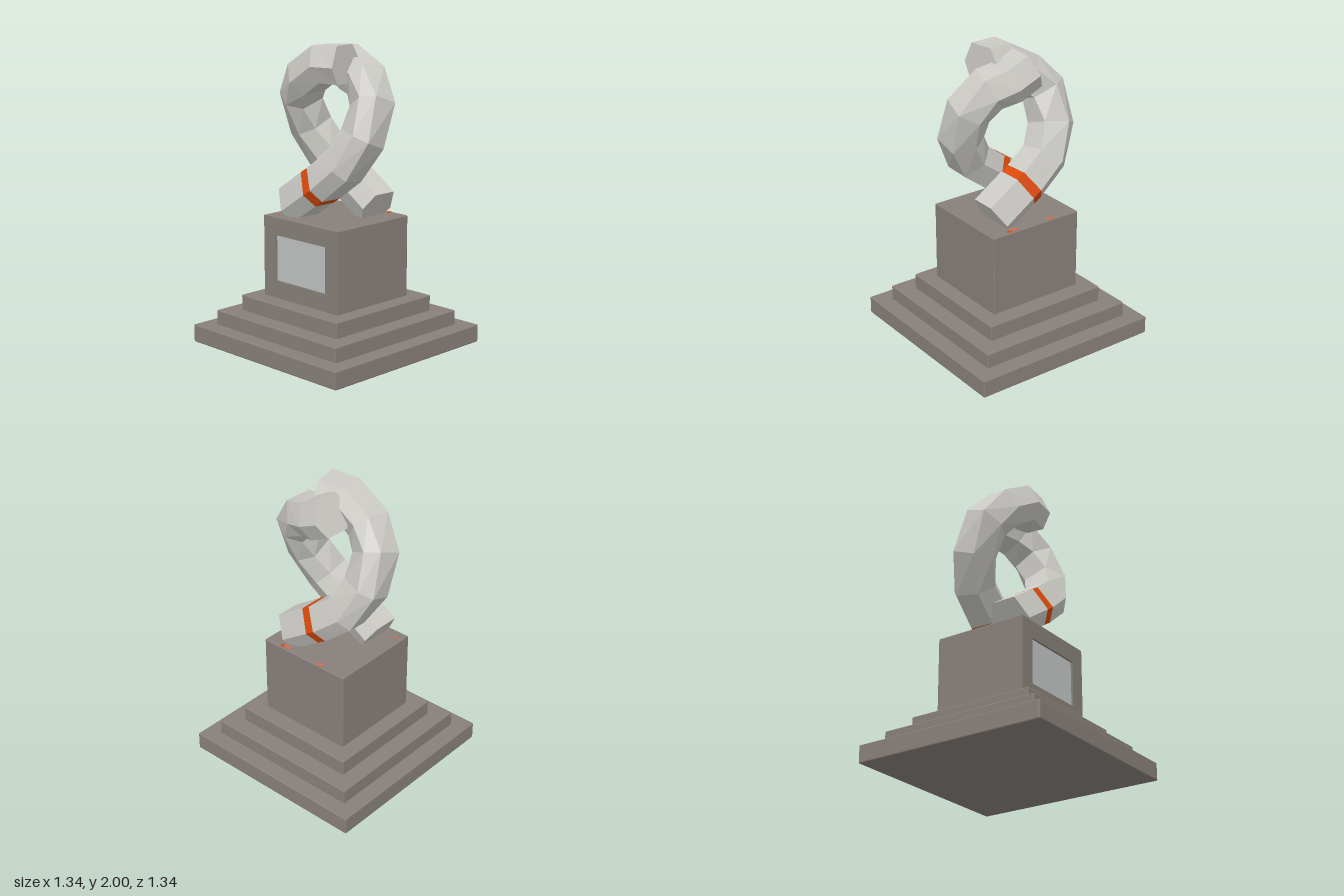
import * as THREE from 'three';
import { RoundedBoxGeometry } from 'three/addons/geometries/RoundedBoxGeometry.js';

const mat = (name, color) => {
  const m = new THREE.MeshStandardMaterial({ color, flatShading: true });
  m.name = name;
  return m;
};

// Six-sided cross-section of a strand: [outward, sideways]
const PROFILE = [[-0.12, 0.085], [0.035, 0.145], [0.125, 0.085], [0.125, -0.08], [-0.01, -0.14], [-0.12, -0.085]];

// Lower part of a strand's centre line; the third segment is the coloured band
const LOWER = [
  [-0.23, 0.935, 0.15], [-0.02, 1.075, 0.15], [0.035, 1.11, 0.15], [0.2, 1.235, 0.135],
  [0.305, 1.42, 0.07], [0.305, 1.63, -0.02], [0.19, 1.765, -0.08],
];
const BAND_SEGMENT = 1;

// Sweeps the cross-section along a faceted path, closing both ends
function strandGeometry(points) {
  const path = points.map((p) => new THREE.Vector3(...p));
  const side = new THREE.Vector3(0, 0, 1);
  const rings = path.map((p, i) => {
    const before = path[Math.max(i - 1, 0)], after = path[Math.min(i + 1, path.length - 1)];
    const t = new THREE.Vector3();
    if (i > 0) t.add(p.clone().sub(before).normalize());
    if (i < path.length - 1) t.add(after.clone().sub(p).normalize());
    t.normalize();
    const out = t.clone().cross(side).normalize();
    const across = out.clone().cross(t);
    return PROFILE.map(([u, w]) => p.clone().addScaledVector(out, u).addScaledVector(across, w));
  });

  const geo = new THREE.BufferGeometry();
  const pos = [];
  const tri = (...vs) => vs.forEach((v) => pos.push(v.x, v.y, v.z));
  const n = PROFILE.length;
  const group = (material, build) => {
    const start = pos.length / 3;
    build();
    geo.addGroup(start, pos.length / 3 - start, material);
  };
  for (let i = 0; i < rings.length - 1; i++) {
    group(i === BAND_SEGMENT ? 1 : 0, () => {
      for (let j = 0; j < n; j++) {
        const k = (j + 1) % n;
        tri(rings[i][j], rings[i][k], rings[i + 1][k]);
        tri(rings[i][j], rings[i + 1][k], rings[i + 1][j]);
      }
    });
  }
  group(0, () => {
    const first = rings[0], last = rings[rings.length - 1];
    for (let j = 1; j < n - 1; j++) {
      tri(first[0], first[j + 1], first[j]);
      tri(last[0], last[j], last[j + 1]);
    }
  });
  geo.setAttribute('position', new THREE.Float32BufferAttribute(pos, 3));
  geo.computeVertexNormals();
  return geo;
}

export function createModel() {
  const model = new THREE.Group();
  model.name = 'knotSculpture';
  const stone = mat('darkStone', 0x88807a);
  const pale = mat('paleStone', 0xcbcac5);
  const panel = mat('plaqueGrey', 0xc0c4c2);
  const orange = mat('orange', 0xdb4a0c);
  const stain = mat('fadedOrange', 0xc4705a);

  const add = (name, geo, material, x = 0, y = 0, z = 0, parent = model) => {
    const mesh = new THREE.Mesh(geo, material);
    mesh.name = name;
    mesh.position.set(x, y, z);
    parent.add(mesh);
    return mesh;
  };
  const block = (name, w, d, y0, y1, z = 0) =>
    add(name, new RoundedBoxGeometry(w, y1 - y0, d, 1, 0.007), stone, 0, (y0 + y1) / 2, z);

  // Stepped base
  block('bottomStep', 1.34, 1.34, 0, 0.12);
  block('middleStep', 1.12, 1.12, 0.11, 0.22);
  block('topStep', 0.89, 0.88, 0.21, 0.325);

  // Pedestal with a framed recess on the front
  block('pedestal', 0.68, 0.63, 0.315, 0.87, -0.01);
  const face = new THREE.Shape([[-0.34, 0.32], [0.34, 0.32], [0.34, 0.867], [-0.34, 0.867]].map((p) => new THREE.Vector2(...p)));
  face.holes.push(new THREE.Path([[-0.23, 0.442], [-0.23, 0.75], [0.23, 0.75], [0.23, 0.442]].map((p) => new THREE.Vector2(...p))));
  add('plaqueFrame', new THREE.ExtrudeGeometry(face, { depth: 0.035, bevelEnabled: false }), stone, 0, 0, 0.292);
  add('plaque', new THREE.BoxGeometry(0.46, 0.308, 0.008), panel, 0, 0.596, 0.309);

  // Two interlocking strands, turned half a circle from each other
  const strand = (name, ending) => add(name, strandGeometry([...LOWER, ...ending]), [pale, orange]);
  strand('frontStrand', [[0.06, 1.8, -0.12], [-0.07, 1.865, -0.13]]);
  strand('backStrand', [[0.01, 1.87, -0.095], [-0.15, 1.875, -0.07]]).rotation.y = Math.PI;

  // Small colour marks on the pedestal top
  for (const [x, z, r, m] of [[-0.13, -0.305, 0.03, stain], [0.165, -0.295, 0.032, stain], [0.2, -0.303, 0.017, orange], [-0.285, 0.255, 0.017, stain]]) {
    const mark = add('colourMark', new THREE.CylinderGeometry(r, r, 0.004, 10), m, x, m === orange ? 0.872 : 0.871, z);
    mark.scale.z = 0.6;
  }
  return model;
}
